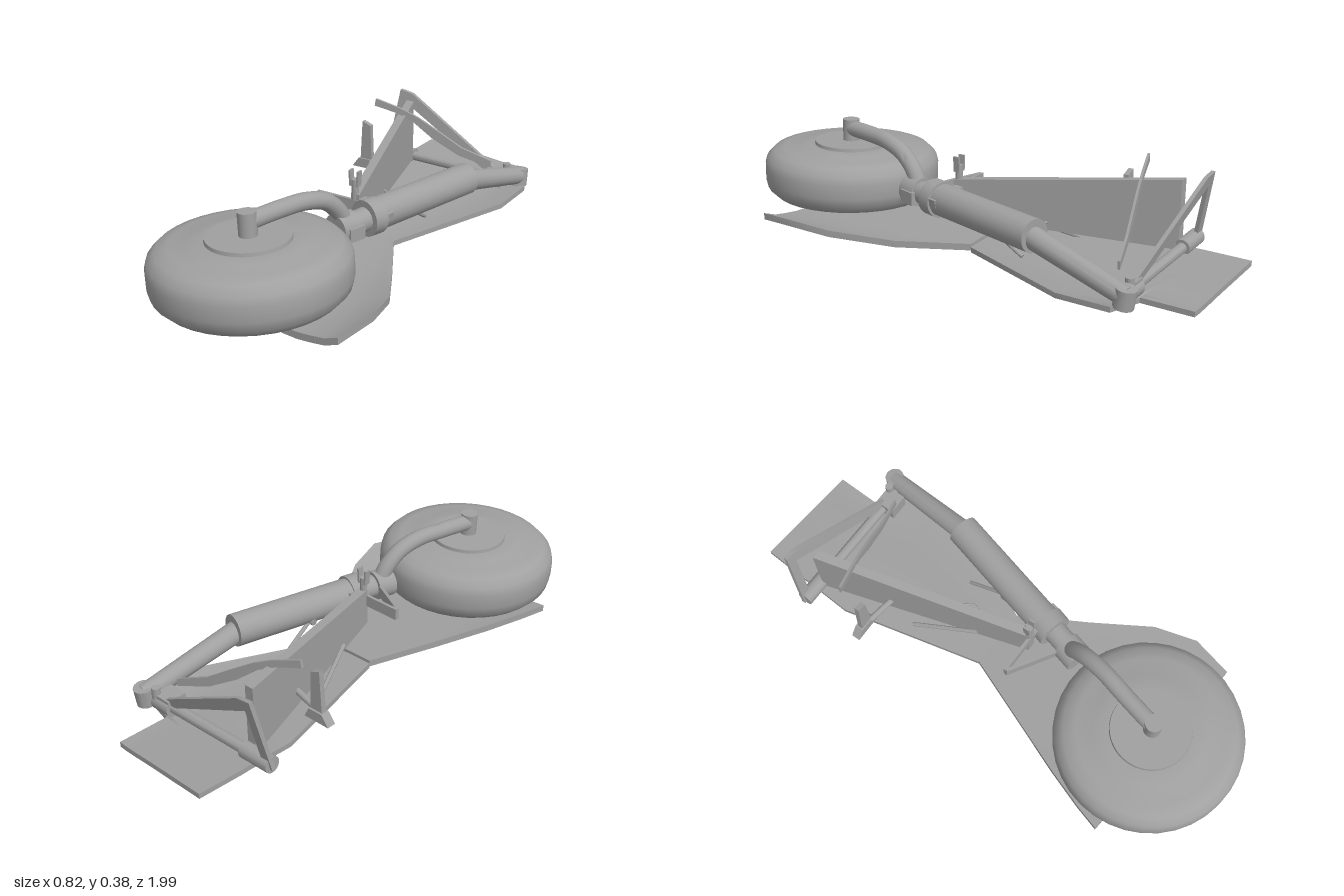
import * as THREE from 'three';
import { toCreasedNormals } from 'three/addons/utils/BufferGeometryUtils.js';

const metal = new THREE.MeshStandardMaterial({ color: 0xa0a0a0, side: THREE.DoubleSide });
metal.name = 'grey metal';
const V = (p) => new THREE.Vector3(...p);

export function createModel() {
  const root = new THREE.Group();
  root.name = 'retractedLandingGear';

  function add(name, geo, crease = 0.6) {
    const mesh = new THREE.Mesh(toCreasedNormals(geo, crease), metal);
    mesh.name = name;
    root.add(mesh);
    return mesh;
  }
  // Round bar between two points
  function rod(name, a, b, r, r2 = r, sides = 20) {
    const d = V(b).sub(V(a));
    const m = add(name, new THREE.CylinderGeometry(r2, r, d.length(), sides));
    m.position.copy(V(a)).addScaledVector(d, 0.5);
    m.quaternion.setFromUnitVectors(new THREE.Vector3(0, 1, 0), d.normalize());
    return m;
  }
  // Rectangular bar between two points
  function beam(name, a, b, w, h) {
    const m = add(name, new THREE.BoxGeometry(w, h, V(a).distanceTo(V(b))));
    m.position.copy(V(a)).lerp(V(b), 0.5);
    m.lookAt(V(b));
    return m;
  }
  // Flat outline given thickness, then placed by a vertex rule
  function slab(name, pts, depth, place) {
    const shape = new THREE.Shape(pts.map((p) => new THREE.Vector2(...p)));
    const geo = new THREE.ExtrudeGeometry(shape, { depth, bevelEnabled: false });
    const pos = geo.attributes.position;
    for (let i = 0; i < pos.count; i++) {
      pos.setXYZ(i, ...place(pos.getX(i), pos.getY(i), pos.getZ(i)));
    }
    return add(name, geo, 0.4);
  }
  const interp = (table, t) => {
    for (let i = 1; i < table.length; i++) {
      const [a, ya] = table[i - 1], [b, yb] = table[i];
      if (t <= b) return ya + (yb - ya) * Math.max(0, (t - a) / (b - a));
    }
    return table[table.length - 1][1];
  };

  // Bay doors: curved skins lofted through width stations [zLeft, xLeft, zRight, xRight]
  const belly = [[-0.41, 0.045], [-0.28, 0.025], [0, 0.012], [0.15, 0.002], [0.22, 0.002],
    [0.33, 0.02], [0.385, 0.045], [0.41, 0.06]];
  function door(name, stations, rise, thick) {
    const N = 14, P = [], I = [];
    for (const [zl, xl, zr, xr] of stations) {
      for (let j = 0; j <= N; j++) {
        const t = j / N, x = xl + (xr - xl) * t, z = zl + (zr - zl) * t;
        const y = rise(x, z) + interp(belly, x);
        P.push(x, y, z, x, y + thick, z);
      }
    }
    const id = (i, j, k) => (i * (N + 1) + j) * 2 + k;
    const quad = (a, b, c, d) => I.push(a, b, c, a, c, d);
    const M = stations.length - 1;
    for (let i = 0; i < M; i++) {
      for (let j = 0; j < N; j++) {
        quad(id(i, j, 1), id(i + 1, j, 1), id(i + 1, j + 1, 1), id(i, j + 1, 1));
        quad(id(i, j, 0), id(i, j + 1, 0), id(i + 1, j + 1, 0), id(i + 1, j, 0));
      }
      quad(id(i, 0, 0), id(i + 1, 0, 0), id(i + 1, 0, 1), id(i, 0, 1));
      quad(id(i, N, 0), id(i, N, 1), id(i + 1, N, 1), id(i + 1, N, 0));
    }
    for (let j = 0; j < N; j++) {
      quad(id(0, j, 0), id(0, j, 1), id(0, j + 1, 1), id(0, j + 1, 0));
      quad(id(M, j, 0), id(M, j + 1, 0), id(M, j + 1, 1), id(M, j, 1));
    }
    const geo = new THREE.BufferGeometry();
    geo.setAttribute('position', new THREE.Float32BufferAttribute(P, 3));
    geo.setIndex(I);
    add(name, geo);
  }
  door('rearDoor', [[-1, -0.25, -0.98, 0.18], [-0.82, -0.26, -0.78, 0.175],
    [-0.79, -0.26, -0.75, 0.33], [-0.61, -0.27, -0.54, 0.325], [-0.06, -0.135, -0.05, 0.11]],
    (x, z) => -z * (0.022 - 0.03 * Math.min(x, 0.1)), 0.02);
  door('frontDoor', [[-0.06, -0.135, -0.05, 0.11], [0.2, -0.24, 0.2, 0.25],
    [0.42, -0.33, 0.42, 0.37], [0.57, -0.385, 0.585, 0.408], [0.67, -0.415, 0.745, 0.375]],
    () => 0.008, 0.026);

  // Wheel: tyre and stepped hub on a slightly tilted axis
  const wheelProfile = [[0, -0.09], [0.2, -0.09], [0.22, -0.1], [0.27, -0.1], [0.315, -0.088],
    [0.343, -0.06], [0.351, -0.025], [0.351, 0.03], [0.343, 0.06], [0.315, 0.088], [0.27, 0.1],
    [0.21, 0.104], [0.205, 0.106], [0.15, 0.108], [0.148, 0.121], [0, 0.121]];
  const wheel = add('wheel', new THREE.LatheGeometry(
    wheelProfile.map((p) => new THREE.Vector2(...p)), 36), 0.7);
  wheel.position.set(-0.04, 0.166, 0.642);
  wheel.rotation.z = 0.035;
  rod('axle', [-0.042, 0.27, 0.645], [-0.046, 0.373, 0.645], 0.033);

  // Curved arm from the axle down to the piston
  const armPath = new THREE.CatmullRomCurve3([[-0.045, 0.335, 0.645], [-0.01, 0.337, 0.5],
    [0.018, 0.333, 0.4], [0.04, 0.305, 0.31], [0.055, 0.25, 0.25], [0.065, 0.19, 0.22]].map(V));
  add('wheelArm', new THREE.TubeGeometry(armPath, 24, 0.032, 16), 1);

  // Shock strut: collars, piston, main cylinder and upper leg
  rod('lowerCollar', [0.055, 0.182, 0.27], [0.075, 0.182, 0.195], 0.057);
  rod('piston', [0.075, 0.182, 0.21], [0.1, 0.185, 0.11], 0.045);
  rod('strutCollar', [0.092, 0.185, 0.135], [0.108, 0.185, 0.08], 0.07);
  rod('mainCylinder', [0.1, 0.185, 0.1], [0.232, 0.19, -0.4], 0.062);
  rod('upperLeg', [0.228, 0.185, -0.38], [0.288, 0.083, -0.785], 0.042, 0.036);
  rod('pivotCap', [0.287, 0.045, -0.775], [0.287, 0.115, -0.785], 0.037);

  // Pivot crossbar
  rod('crossbar', [-0.32, 0.085, -0.755], [0.27, 0.068, -0.755], 0.02);
  rod('crossbarEnd', [-0.33, 0.086, -0.755], [-0.2, 0.082, -0.755], 0.031);
  rod('crossbarCollar', [0.16, 0.07, -0.755], [0.245, 0.068, -0.755], 0.035);
  beam('pivotLug', [0.16, 0.075, -0.74], [0.24, 0.075, -0.74], 0.08, 0.06);
  rod('pivotPin', [0.235, 0.05, -0.77], [0.235, 0.13, -0.77], 0.016);

  // Tall web plate running diagonally along the gear
  slab('webPlate', [[-0.08, 0.1], [0.74, 0.07], [0.74, 0.335], [-0.08, 0.245]], 0.036,
    (u, v, w) => [-0.003 + 0.29 * (-u - 0.07) + w, v, -u]);

  // Rear triangular frame and curved blade
  slab('rearFrame', [[-0.34, 0.07], [-0.3, 0.07], [-0.275, 0.305], [0.16, 0.075], [0.19, 0.1],
    [-0.245, 0.345], [-0.305, 0.355]], 0.016,
    (x, y, w) => [x, y, -0.765 - 0.19 * (y - 0.07) + w]);
  slab('curvedBlade', [[-0.29, 0.352], [-0.2, 0.328], [-0.13, 0.295], [-0.05, 0.23], [0.06, 0.165],
    [0.19, 0.125], [0.19, 0.155], [0.07, 0.2], [-0.03, 0.265], [-0.11, 0.315], [-0.18, 0.348],
    [-0.285, 0.382]], 0.01, (x, y, w) => [x, y, -0.57 - 0.29 * (x + 0.29) + w]);

  // Side bracket on a short foot
  slab('sideBracket', [[-0.31, 0.13], [-0.255, 0.13], [-0.262, 0.29], [-0.3, 0.305]], 0.02,
    (x, y, w) => [x, y, -0.5 + w]);
  slab('bracketFoot', [[-0.345, 0.1], [-0.235, 0.1], [-0.255, 0.14], [-0.315, 0.14]], 0.035,
    (x, y, w) => [x, y, -0.508 + w]);
  rod('bracketStay', [-0.26, 0.13, -0.48], [-0.15, 0.14, -0.46], 0.012);

  // Link triangle between web plate and strut
  beam('linkUpper', [-0.15, 0.2, 0.075], [0.14, 0.2, 0.08], 0.012, 0.045);
  beam('linkLower', [-0.15, 0.2, 0.08], [0.05, 0.18, 0.2], 0.012, 0.045);
  beam('linkLug', [0.06, 0.17, 0.215], [0.13, 0.17, 0.235], 0.07, 0.05);
  beam('strutBand', [0.03, 0.21, 0.06], [0.17, 0.19, 0.09], 0.05, 0.03);

  // Clevis post on the front of the web plate
  rod('clevisPost', [0.012, 0.22, 0.07], [0.012, 0.3, 0.07], 0.014);
  for (const s of [-1, 1]) {
    beam('clevisEar', [0.012 + s * 0.014, 0.275, 0.07], [0.012 + s * 0.018, 0.335, 0.07], 0.025, 0.008);
  }

  // Thin stays and a pipe
  rod('doorStay', [0.12, 0.15, -0.11], [0.115, 0.045, -0.28], 0.008, 0.008, 8);
  rod('doorStayInner', [-0.16, 0.05, -0.36], [-0.06, 0.12, -0.12], 0.008, 0.008, 8);
  rod('stayLug', [0.15, 0.15, -0.11], [0.1, 0.145, -0.11], 0.014, 0.014, 10);
  const pipe = new THREE.CatmullRomCurve3([[-0.1, 0.12, -0.28], [-0.02, 0.11, -0.25],
    [0.03, 0.09, -0.2], [0.01, 0.06, -0.16], [-0.06, 0.045, -0.16]].map(V));
  add('pipe', new THREE.TubeGeometry(pipe, 20, 0.006, 8), 1);

  return root;
}
